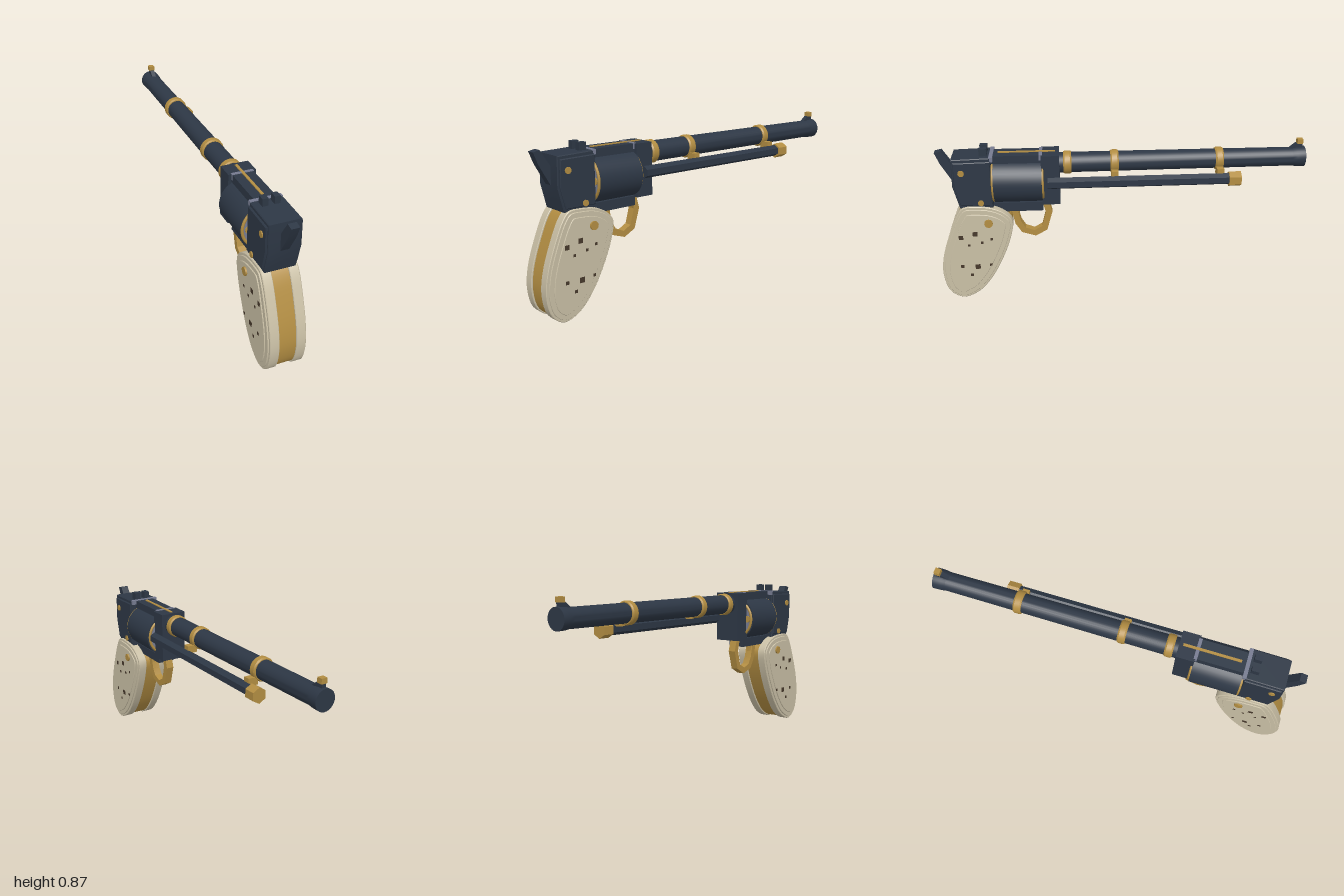
import * as THREE from 'three';
import { toCreasedNormals } from 'three/addons/utils/BufferGeometryUtils.js';

const paint = (name, color) => {
  const m = new THREE.MeshStandardMaterial({ color });
  m.name = name;
  return m;
};

export function createModel() {
  const steel = paint('blued steel', 0x2d3745);
  const gold = paint('aged brass', 0xb28d42);
  const ivory = paint('ivory', 0xc9bfa5);
  const grey = paint('worn steel', 0x767b90);
  const brown = paint('dark brown', 0x46382b);

  const root = new THREE.Group();
  root.name = 'revolver';
  const X = -0.004; // centre line of the body

  function add(name, geo, mat, x = 0, y = 0, z = 0) {
    const mesh = new THREE.Mesh(geo, mat);
    mesh.name = name;
    mesh.position.set(x, y, z);
    root.add(mesh);
    return mesh;
  }
  const box = (name, mat, x0, x1, y0, y1, z0, z1) =>
    add(name, new THREE.BoxGeometry(x1 - x0, y1 - y0, z1 - z0), mat, (x0 + x1) / 2, (y0 + y1) / 2, (z0 + z1) / 2);
  // cylinder lying along z
  const rod = (name, mat, r, z0, z1, x, y, sides = 32) =>
    add(name, toCreasedNormals(new THREE.CylinderGeometry(r, r, z1 - z0, sides).rotateX(Math.PI / 2), 0.5), mat, x, y, (z0 + z1) / 2);
  // turned part along z from (radius, z) points
  const turned = (name, mat, pts, y, z) => {
    const geo = new THREE.LatheGeometry(pts.map(([r, l]) => new THREE.Vector2(r, l)), 32).rotateX(Math.PI / 2);
    return add(name, toCreasedNormals(geo, 0.5), mat, X, y, z);
  };
  // side profile of (z, y) points, extruded across x
  function profile(name, mat, shape, x0, x1, bevel = 0) {
    const depth = x1 - x0 - 2 * bevel;
    const geo = new THREE.ExtrudeGeometry(shape, {
      depth, bevelEnabled: bevel > 0,
      bevelSize: bevel, bevelThickness: bevel, bevelOffset: -bevel, bevelSegments: 1,
    });
    geo.translate(0, 0, -depth / 2).rotateY(-Math.PI / 2);
    return add(name, toCreasedNormals(geo, 0.5), mat, (x0 + x1) / 2);
  }
  const poly = (pts) => new THREE.Shape(pts.map(([z, y]) => new THREE.Vector2(z, y)));

  // barrel with a slightly flared muzzle
  turned('barrel', steel, [[0, -1], [0.056, -1], [0.055, -0.955], [0.051, -0.93], [0.055, 0.34], [0, 0.34]], 0.764, 0);

  // brass bands, two of them clipped to the ejector rod
  [0.292, 0.04, -0.528].forEach((z, i) => {
    turned('barrelBand', gold, [[0.05, -0.022], [0.057, -0.022], [0.062, -0.014], [0.062, 0.014], [0.057, 0.022], [0.05, 0.022]], 0.764, z);
    if (i > 0) box('rodClip', gold, 0.03, 0.087, 0.695, 0.735, z - 0.019, z + 0.019);
  });

  // ejector rod and its cap
  rod('ejectorRod', steel, 0.032, -0.6, 0.4, 0.086, 0.68, 6);
  rod('ejectorCap', gold, 0.042, -0.637, -0.572, 0.087, 0.679, 6);

  // front sight
  profile('frontSightRamp', steel, poly([[-0.9, 0.8], [-0.95, 0.84], [-0.985, 0.84], [-0.985, 0.8]]), X - 0.012, X + 0.012);
  box('frontSightBead', gold, X - 0.016, X + 0.016, 0.838, 0.865, -0.987, -0.956);

  // frame around the cylinder
  box('frontFrame', steel, X - 0.074, X + 0.074, 0.55, 0.828, 0.335, 0.432);
  box('topStrap', steel, X - 0.056, X + 0.056, 0.785, 0.828, 0.42, 0.72);
  box('topInlay', gold, X - 0.007, X + 0.007, 0.826, 0.833, 0.355, 0.66);
  box('bottomStrap', steel, X - 0.05, X + 0.05, 0.505, 0.556, 0.43, 0.7);
  profile('rearFrame', steel, poly([[0.695, 0.828], [0.9, 0.822], [0.903, 0.67], [0.872, 0.545], [0.695, 0.545]]),
    X - 0.083, X + 0.083, 0.004);
  profile('framePlates', steel, poly([[0.697, 0.81], [0.89, 0.806], [0.893, 0.67], [0.866, 0.562], [0.697, 0.562]]),
    X - 0.092, X + 0.092, 0.004);

  // worn seams across the top of the frame
  box('rearSeam', grey, X - 0.083, X + 0.083, 0.806, 0.831, 0.683, 0.703);
  box('frontSeam', grey, X - 0.058, X + 0.058, 0.8, 0.831, 0.424, 0.442);

  // cylinder with end plates, rings and chamber rims
  const cy = 0.673;
  rod('cylinder', steel, 0.121, 0.43, 0.686, X, cy, 40);
  for (const [z, s, r] of [[0.686, 1, 0.11], [0.43, -1, 0.104]]) {
    rod('cylinderPlate', grey, r, z - 0.005, z + 0.005, X, cy);
    add('cylinderRing', new THREE.TorusGeometry(r + 0.003, 0.008, 8, 32), gold, X, cy, z + s * 0.003);
    for (let i = 0; i < 6; i++) {
      const a = i * Math.PI / 3;
      rod('chamberRim', gold, 0.02, z - 0.009, z + 0.009, X + 0.08 * Math.cos(a), cy + 0.08 * Math.sin(a), 12);
    }
  }

  // rear sight posts
  for (const s of [-1, 1]) {
    const c = X + s * 0.031;
    box('rearSightPost', steel, c - 0.015, c + 0.015, 0.82, 0.866, 0.715, 0.755);
  }

  // hammer
  profile('hammer', steel, poly([[0.86, 0.79], [0.9, 0.765], [0.955, 0.85], [0.99, 0.842], [0.965, 0.78], [0.905, 0.675], [0.86, 0.675]]),
    X - 0.022, X + 0.022);

  // grip: brass core between ivory slabs with stepped panels
  const outline = [[0.855, 0.55], [0.786, 0.555], [0.705, 0.545], [0.636, 0.512], [0.598, 0.462], [0.612, 0.37],
    [0.668, 0.23], [0.738, 0.11], [0.813, 0.032], [0.9, 0], [0.968, 0.043], [0.997, 0.145],
    [0.987, 0.257], [0.936, 0.412], [0.888, 0.515]];
  const curve = new THREE.CatmullRomCurve3(outline.map(([z, y]) => new THREE.Vector3(z, y, 0)), true);
  const ring = curve.getPoints(60).slice(0, -1);
  const tangents = ring.map((p, i) => ring[(i + 1) % 60].clone().sub(ring[(i + 59) % 60]).normalize());
  // outline moved inwards by d
  const gripShape = (d) => poly(ring.map((p, i) => [p.x - tangents[i].y * d, p.y + tangents[i].x * d]));
  profile('gripCore', gold, gripShape(0.008), X - 0.046, X + 0.046);
  // small dark flecks on the panels, as (z, y, size)
  const flecks = [[0.88, 0.38, 0.024], [0.803, 0.4, 0.026], [0.84, 0.333, 0.014], [0.768, 0.347, 0.014], [0.715, 0.368, 0.014],
    [0.886, 0.203, 0.018], [0.802, 0.2, 0.028], [0.838, 0.149, 0.016], [0.73, 0.21, 0.015]];
  for (const s of [-1, 1]) {
    const slab = (name, d, a, b, bevel) =>
      profile(name, ivory, gripShape(d), X + Math.min(s * a, s * b), X + Math.max(s * a, s * b), bevel);
    slab('gripSlab', 0, 0.045, 0.095, 0.003);
    slab('gripStep', 0.014, 0.09, 0.102, 0.002);
    slab('gripPanel', 0.04, 0.098, 0.107, 0.002);
    for (const [z, y, w] of flecks)
      add('gripFleck', new THREE.BoxGeometry(0.002, w, w), brown, X + s * 0.107, y, z);
  }

  // screws on both sides of grip and frame
  const screws = [[0.725, 0.463, 0.023, 0.116], [0.85, 0.75, 0.017, 0.098], [0.758, 0.578, 0.016, 0.098]];
  for (const [z, y, r, reach] of screws) {
    const geo = toCreasedNormals(new THREE.CylinderGeometry(r, r, 2 * reach, 12).rotateZ(Math.PI / 2), 0.6);
    add('sideScrews', geo, gold, X, y, z);
  }

  // trigger guard loop and trigger
  profile('triggerGuard', gold, poly([
    [0.607, 0.51], [0.588, 0.415], [0.555, 0.362], [0.48, 0.337], [0.415, 0.372], [0.383, 0.48], [0.403, 0.55],
    [0.436, 0.55], [0.418, 0.48], [0.441, 0.396], [0.486, 0.371], [0.533, 0.389], [0.556, 0.427], [0.574, 0.51],
  ]), X - 0.022, X + 0.022);
  profile('trigger', gold, poly([[0.6, 0.52], [0.56, 0.52], [0.565, 0.45], [0.545, 0.4], [0.56, 0.395], [0.59, 0.44]]),
    X - 0.013, X + 0.013);

  return root;
}
